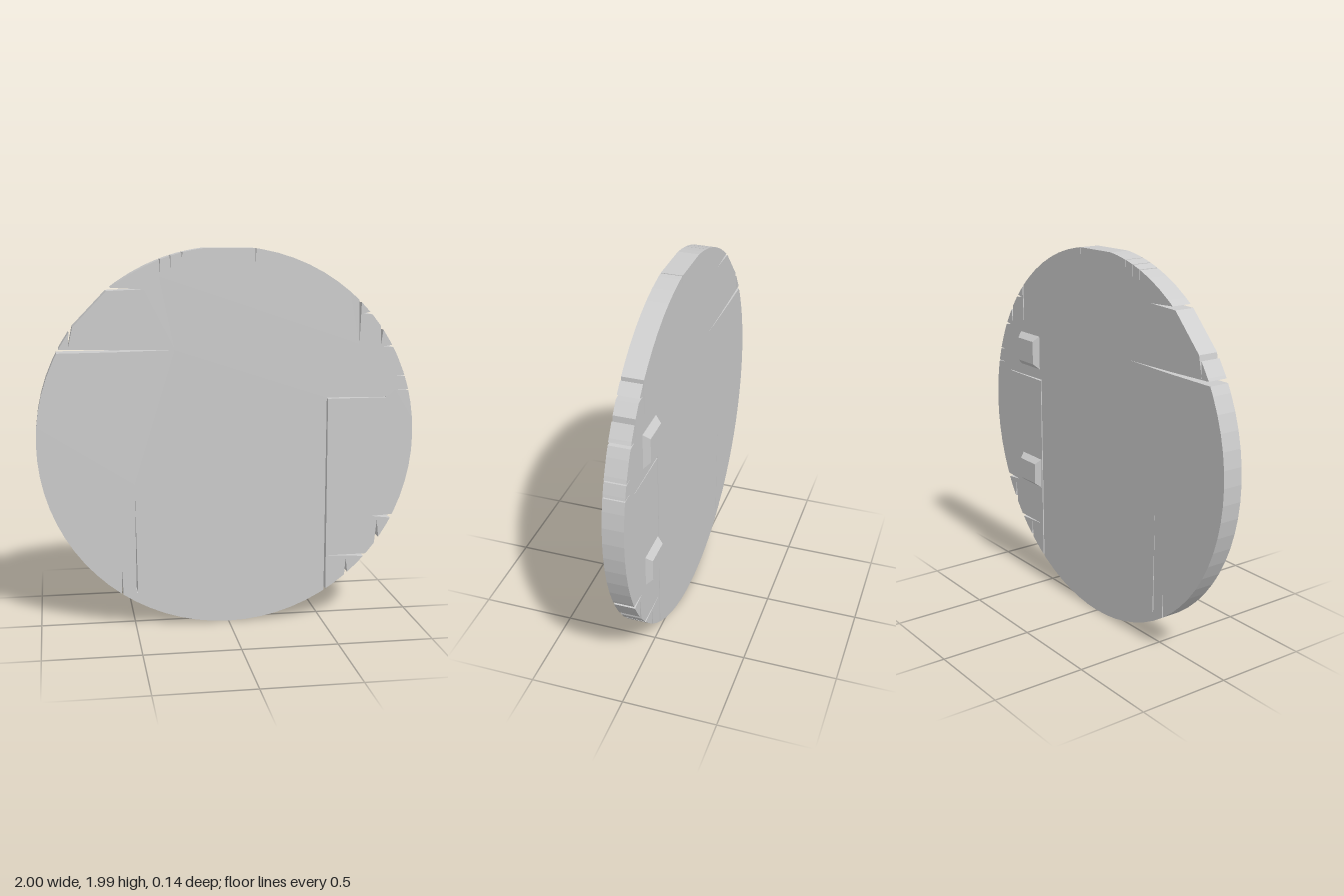
import * as THREE from 'three';

const BACK = -0.04, FRONT = 0.07;

// Cuts in the rim, counterclockwise: first and last points lie on the rim, the others inside.
const CUTS = [
  [[0.971, 1.238], [0.9, 1.243], [0.97, 1.244]],
  [[0.949, 1.315], [0.9, 1.32], [0.947, 1.321]],
  [[0.882, 1.47], [0.83, 1.476], [0.876, 1.483]],
  [[0.826, 1.564], [0.814, 1.485], [0.81, 1.586]],
  [[0.764, 1.645], [0.715, 1.65], [0.752, 1.659]],
  [[0.705, 1.709], [0.697, 1.49], [0.692, 1.722]],
  [[0.143, 1.99], [0.14, 1.91], [0.138, 1.99]],
  [[0.137, 1.99], [-0.12, 1.993]], // flat on top
  [[-0.238, 1.971], [-0.24, 1.93], [-0.243, 1.97]],
  [[-0.298, 1.955], [-0.3, 1.89], [-0.303, 1.953]],
  [[-0.352, 1.936], [-0.358, 1.85], [-0.358, 1.934]],
  [[-0.607, 1.795], [-0.44, 1.786], [-0.627, 1.779]],
  [[-0.628, 1.778], [-0.8, 1.6]], // flat on the upper right side
  [[-0.802, 1.597], [-0.825, 1.49], [-0.82, 1.572]],
  [[-0.874, 1.486], [-0.6, 1.479], [-0.28, 1.475], [-0.6, 1.468], [-0.885, 1.466]],
  [[-0.574, 0.181], [-0.57, 0.31], [-0.565, 0.175]],
  [[0.524, 0.148], [0.525, 1.21], [0.85, 1.206], [0.85, 1.203], [0.532, 1.202], [0.534, 0.155]],
  [[0.638, 0.23], [0.645, 0.325], [0.655, 0.244]],
  [[0.742, 0.33], [0.545, 0.342], [0.755, 0.344]],
  [[0.802, 0.403], [0.815, 0.53], [0.825, 0.435]],
  [[0.888, 0.54], [0.78, 0.553], [0.898, 0.56]],
];

const angleOf = ([x, y]) => (Math.atan2(y - 1, x) + 2 * Math.PI) % (2 * Math.PI);
const onRim = (a) => new THREE.Vector2(Math.cos(a), 1 + Math.sin(a));

// Round outline with the cuts spliced in
function rimOutline(segments) {
  const cuts = CUTS.map((points) => ({
    points, from: angleOf(points[0]), to: angleOf(points[points.length - 1]),
  }));
  const runs = cuts.map(({ points, from, to }) => ({
    angle: from,
    points: [onRim(from), ...points.slice(1, -1).map((p) => new THREE.Vector2(...p)), onRim(to)],
  }));
  for (let i = 0; i < segments; i++) {
    const angle = (i / segments) * 2 * Math.PI;
    const inCut = cuts.some((c) => angle > c.from - 0.001 && angle < c.to + 0.001);
    if (!inCut) runs.push({ angle, points: [onRim(angle)] });
  }
  return runs.sort((a, b) => a.angle - b.angle).flatMap((r) => r.points);
}

function disc() {
  const shape = new THREE.Shape(rimOutline(72));
  // Slit that stops short of the rim
  shape.holes.push(new THREE.Path([[-0.495, 0.18], [-0.497, 0.77], [-0.488, 0.18]]
    .map((p) => new THREE.Vector2(...p))));
  const geometry = new THREE.ExtrudeGeometry(shape, { depth: FRONT - BACK, bevelEnabled: false });
  return geometry.translate(0, 0, BACK);
}

// Block whose rear face is drawn in to a smaller rectangle
function taperedBlock(width, height) {
  const geometry = new THREE.BoxGeometry(width, height, 0.05);
  const p = geometry.attributes.position;
  for (let i = 0; i < p.count; i++) {
    if (p.getZ(i) < 0) p.setXY(i, p.getX(i) * 0.7, p.getY(i) * 0.58);
  }
  geometry.computeVertexNormals();
  return geometry;
}

export function createModel() {
  const group = new THREE.Group();
  const material = new THREE.MeshStandardMaterial({ color: 0xcccccc, flatShading: true });
  const add = (name, geometry, x = 0, y = 0, z = 0) => {
    const mesh = new THREE.Mesh(geometry, material);
    mesh.name = name;
    mesh.position.set(x, y, z);
    group.add(mesh);
  };

  add('crackedDisc', disc());

  // Two blocks on the back
  add('upperBackBlock', taperedBlock(0.21, 0.22), 0.635, 1.36, -0.047);
  add('lowerBackBlock', taperedBlock(0.21, 0.2), 0.635, 0.65, -0.047);
  return group;
}
